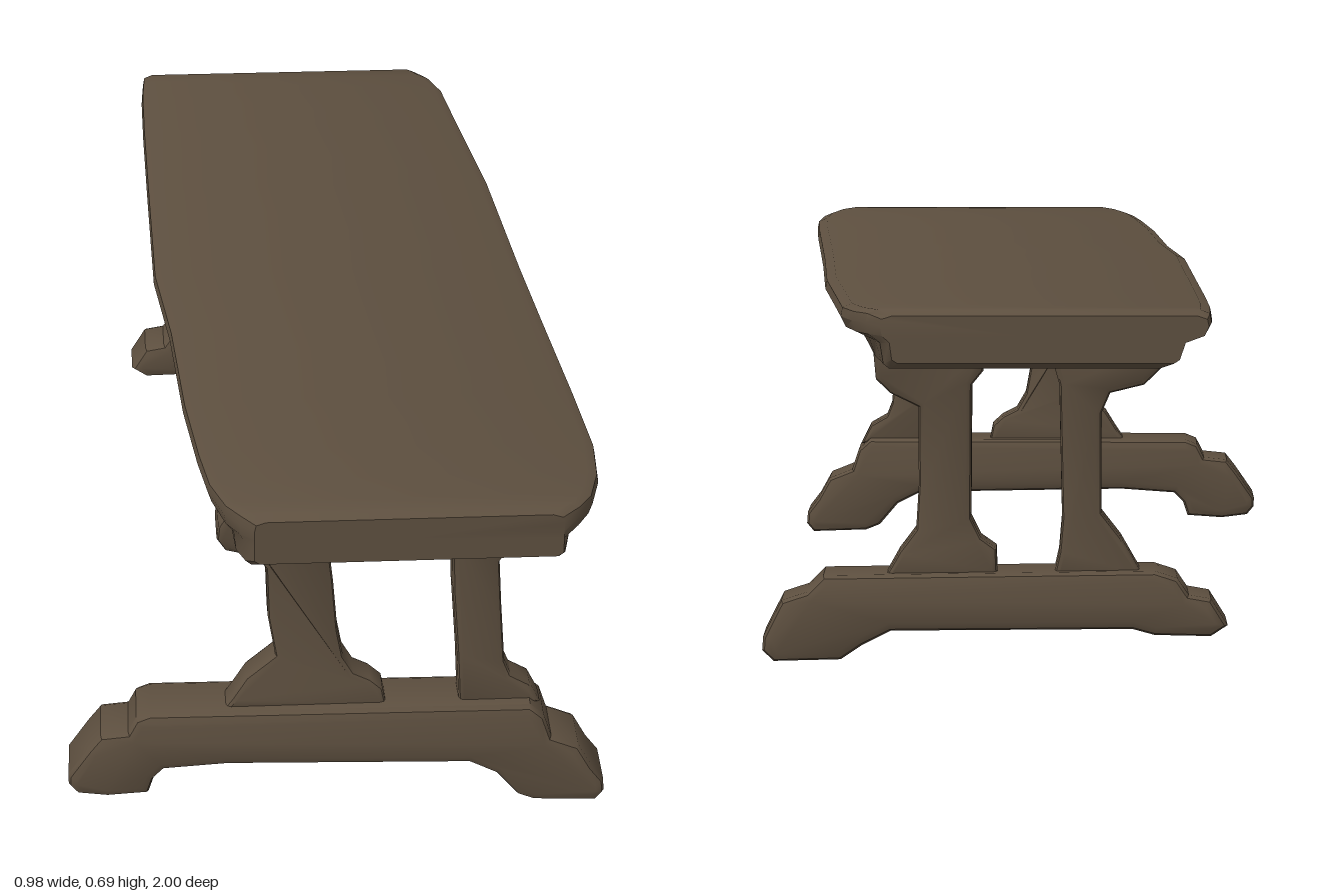
import * as THREE from 'three';
import { toCreasedNormals } from 'three/addons/utils/BufferGeometryUtils.js';

const wood = new THREE.MeshStandardMaterial({ color: 0x5d4f3f });
wood.name = 'dark brown wood';

function part(name, geometry, crease = 0.7) {
  const mesh = new THREE.Mesh(toCreasedNormals(geometry, crease), wood);
  mesh.name = name;
  return mesh;
}

// Side profile with worn, bevelled edges, centred on z = 0
function slab(points, depth, bevel) {
  const shape = new THREE.Shape(points.map(([x, y]) => new THREE.Vector2(x, y)));
  const geometry = new THREE.ExtrudeGeometry(shape, {
    depth: depth - 2 * bevel, bevelEnabled: true, bevelSize: bevel,
    bevelThickness: bevel, bevelOffset: -bevel, bevelSegments: 2,
  });
  return geometry.translate(0, 0, bevel - depth / 2);
}

// Post whose head spreads towards the middle of the table (inward = -1 or 1 in z)
function post(points, inward) {
  const geometry = slab(points, 0.065, 0.01);
  const p = geometry.attributes.position;
  for (let i = 0; i < p.count; i++) {
    const z = p.getZ(i);
    const head = THREE.MathUtils.smoothstep(p.getY(i), 0.51, 0.6);
    p.setZ(i, z + head * (z * inward > 0 ? 0.06 * inward : -0.01 * inward));
  }
  return geometry;
}

// Table top: cross-sections [z, left edge, right edge, left undercut, right undercut]
function tableTop() {
  const sections = [
    [-1, -0.305, 0.26, 0.05, 0.02], [-0.985, -0.31, 0.285, 0.08, 0.03],
    [-0.95, -0.312, 0.31, 0.1, 0.05], [-0.88, -0.315, 0.333, 0.1, 0.06],
    [-0.7, -0.315, 0.352, 0.09, 0.06], [-0.4, -0.312, 0.385, 0.07, 0.06],
    [0, -0.307, 0.41, 0.06, 0.06], [0.25, -0.282, 0.428, 0.06, 0.06],
    [0.55, -0.265, 0.45, 0.06, 0.06], [0.75, -0.245, 0.462, 0.055, 0.06],
    [0.86, -0.23, 0.455, 0.04, 0.06], [0.94, -0.205, 0.435, 0.02, 0.045],
    [0.98, -0.18, 0.41, 0.01, 0.025], [1, -0.155, 0.38, 0, 0],
  ];
  // Edge rows, bottom to top: [height, share of undercut, extra inset]
  const edge = [[0.592, 1, 0.01], [0.6, 1, 0], [0.637, 0.8, 0], [0.652, 0.15, 0],
    [0.672, 0, 0], [0.688, 0, 0.003], [0.695, 0, 0.02]];
  const position = [], index = [];
  const n = edge.length * 2, last = sections.length - 1;
  sections.forEach(([z, l, r, cutL, cutR], s) => {
    const y = (h) => {
      const rounded = s === 0 || s === last ? 0.645 + (h - 0.645) * 0.8 : h;
      return rounded - (h > 0.66 ? 0.008 * (1 - z * z) : 0);
    };
    edge.forEach(([h, c, e]) => position.push(r - cutR * c - e, y(h), z));
    [...edge].reverse().forEach(([h, c, e]) => position.push(l + cutL * c + e, y(h), z));
  });
  for (let s = 0; s < last; s++) {
    for (let j = 0; j < n; j++) {
      const a = s * n + j, b = s * n + (j + 1) % n;
      index.push(a, b, a + n, b, b + n, a + n);
    }
  }
  // End caps
  for (const s of [0, last]) {
    const [z, l, r] = sections[s];
    const centre = position.length / 3;
    position.push((l + r) / 2, 0.645, z);
    for (let j = 0; j < n; j++) {
      const a = s * n + j, b = s * n + (j + 1) % n;
      if (s) index.push(centre, a, b);
      else index.push(centre, b, a);
    }
  }
  const geometry = new THREE.BufferGeometry();
  geometry.setAttribute('position', new THREE.Float32BufferAttribute(position, 3));
  geometry.setIndex(index);
  return geometry;
}

const frontFoot = [
  [-0.49, 0.06], [-0.475, 0.042], [-0.42, 0.035], [-0.345, 0.04], [-0.335, 0.07], [-0.315, 0.09],
  [-0.2, 0.098], [0.24, 0.09], [0.29, 0.065], [0.33, 0.018], [0.36, 0.006], [0.475, 0.002],
  [0.49, 0.02], [0.488, 0.045], [0.465, 0.075], [0.44, 0.12], [0.39, 0.14], [0.375, 0.185],
  [0.35, 0.207], [-0.34, 0.207], [-0.365, 0.197], [-0.38, 0.168], [-0.43, 0.163], [-0.452, 0.135],
  [-0.49, 0.08],
];
const backFoot = [
  [-0.35, 0.11], [-0.32, 0.09], [-0.22, 0.092], [-0.18, 0.103], [0.25, 0.1], [0.3, 0.075],
  [0.34, 0.048], [0.46, 0.045], [0.48, 0.065], [0.478, 0.09], [0.445, 0.155], [0.4, 0.17],
  [0.37, 0.2], [-0.22, 0.208], [-0.26, 0.195], [-0.28, 0.165], [-0.32, 0.158],
];
const frontRightPost = [
  [-0.21, 0.195], [0.09, 0.195], [0.082, 0.235], [0.06, 0.255], [0.03, 0.27], [0.01, 0.305],
  [0, 0.36], [-0.008, 0.46], [-0.016, 0.53], [-0.008, 0.57], [0.005, 0.61], [-0.19, 0.62],
  [-0.212, 0.585], [-0.215, 0.555], [-0.2, 0.53], [-0.145, 0.515], [-0.128, 0.49],
  [-0.125, 0.39], [-0.112, 0.31], [-0.165, 0.265], [-0.19, 0.225],
];
const frontLeftPost = [
  [0.222, 0.195], [0.37, 0.195], [0.35, 0.235], [0.315, 0.255], [0.303, 0.285], [0.295, 0.4],
  [0.29, 0.49], [0.305, 0.515], [0.345, 0.522], [0.36, 0.55], [0.36, 0.575], [0.35, 0.61],
  [0.17, 0.61], [0.185, 0.57], [0.205, 0.53], [0.207, 0.44], [0.217, 0.3],
];
const backRightPost = [
  [-0.2, 0.195], [-0.04, 0.195], [-0.05, 0.24], [-0.055, 0.3], [-0.05, 0.54], [-0.03, 0.61],
  [-0.24, 0.62], [-0.235, 0.575], [-0.2, 0.54], [-0.14, 0.525], [-0.125, 0.49], [-0.125, 0.31],
  [-0.16, 0.265],
];
const backLeftPost = [
  [0.06, 0.195], [0.26, 0.195], [0.235, 0.24], [0.205, 0.28], [0.2, 0.36], [0.2, 0.5],
  [0.25, 0.525], [0.275, 0.55], [0.28, 0.61], [0.08, 0.61], [0.085, 0.565], [0.105, 0.54],
  [0.107, 0.3], [0.09, 0.265], [0.062, 0.245],
];

export function createModel() {
  const model = new THREE.Group();
  model.name = 'trestleTable';
  model.add(part('tableTop', tableTop(), 0.6));

  // Trestles: a footed beam with two posts at either end
  const trestles = [
    ['front', 0.792, -1, frontFoot, frontRightPost, frontLeftPost],
    ['back', -0.782, 1, backFoot, backRightPost, backLeftPost],
  ];
  for (const [name, z, inward, foot, right, left] of trestles) {
    const trestle = new THREE.Group();
    trestle.name = name + 'Trestle';
    trestle.position.z = z;
    const beam = part(name + 'Foot', slab(foot, name === 'front' ? 0.13 : 0.12, 0.016));
    if (name === 'front') beam.rotation.y = -0.015;
    trestle.add(
      beam,
      part(name + 'RightPost', post(right, inward)),
      part(name + 'LeftPost', post(left, inward)),
    );
    model.add(trestle);
  }
  return model;
}
